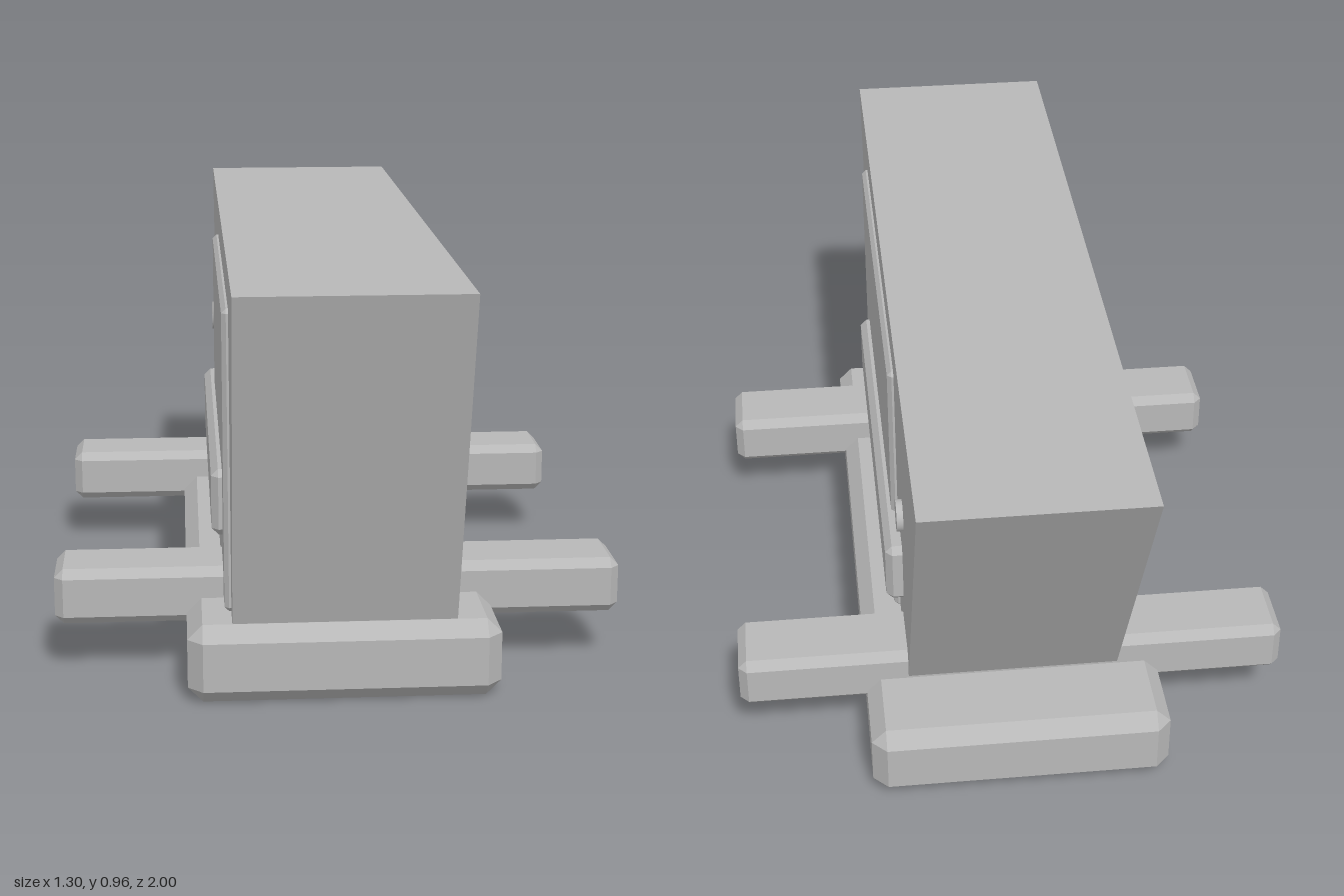
import * as THREE from 'three';
import { ConvexGeometry } from 'three/addons/geometries/ConvexGeometry.js';

// Box with bevelled edges, given its min and max corners and bevel width
function bevelBox(min, max, c) {
  const centre = min.map((v, i) => (v + max[i]) / 2);
  const half = min.map((v, i) => (max[i] - v) / 2);
  const points = [];
  for (const sx of [-1, 1]) for (const sy of [-1, 1]) for (const sz of [-1, 1]) {
    const s = [sx, sy, sz];
    // each corner becomes three points, one on each adjoining face
    for (let face = 0; face < 3; face++) {
      const p = s.map((sign, i) => centre[i] + sign * (half[i] - (i === face ? 0 : c)));
      points.push(new THREE.Vector3(...p));
    }
  }
  return new ConvexGeometry(points);
}

export function createModel() {
  const group = new THREE.Group();
  const grey = new THREE.MeshStandardMaterial({ color: 0xb8b8b8 });
  grey.name = 'grey';

  const add = (name, geometry) => {
    const mesh = new THREE.Mesh(geometry, grey);
    mesh.name = name;
    group.add(mesh);
    return mesh;
  };

  // Base slab
  add('base', bevelBox([-0.35, 0, -0.8], [0.35, 0.18, 0.8], 0.034));

  // Cross bars
  add('frontCrossBar', bevelBox([-0.65, 0.12, 0.41], [0.65, 0.25, 0.59], 0.02));
  add('backCrossBar', bevelBox([-0.65, 0.12, -0.59], [0.65, 0.25, -0.41], 0.02));

  // Wedge-shaped body: side outline in (z, y), extruded across x
  const outline = new THREE.Shape([
    [0.762, 0.17], [1, 0.957], [-1, 0.957], [-0.582, 0.17],
  ].map(([z, y]) => new THREE.Vector2(z, y)));
  const body = new THREE.ExtrudeGeometry(outline, { depth: 0.5, bevelEnabled: false });
  body.translate(0, 0, -0.25).rotateY(-Math.PI / 2);
  add('body', body);

  // Side panels and rails, each running through the body
  add('sidePanels', bevelBox([-0.265, 0.18, -0.325], [0.265, 0.87, 0.69], 0.01));
  add('sideRails', bevelBox([-0.29, 0.32, -0.475], [0.29, 0.475, 0.57], 0.016));

  // Round pin ends on both sides
  const pin = new THREE.CylinderGeometry(0.037, 0.037, 0.53, 24).rotateZ(Math.PI / 2);
  add('pin', pin).position.set(0, 0.612, -0.52);

  return group;
}
